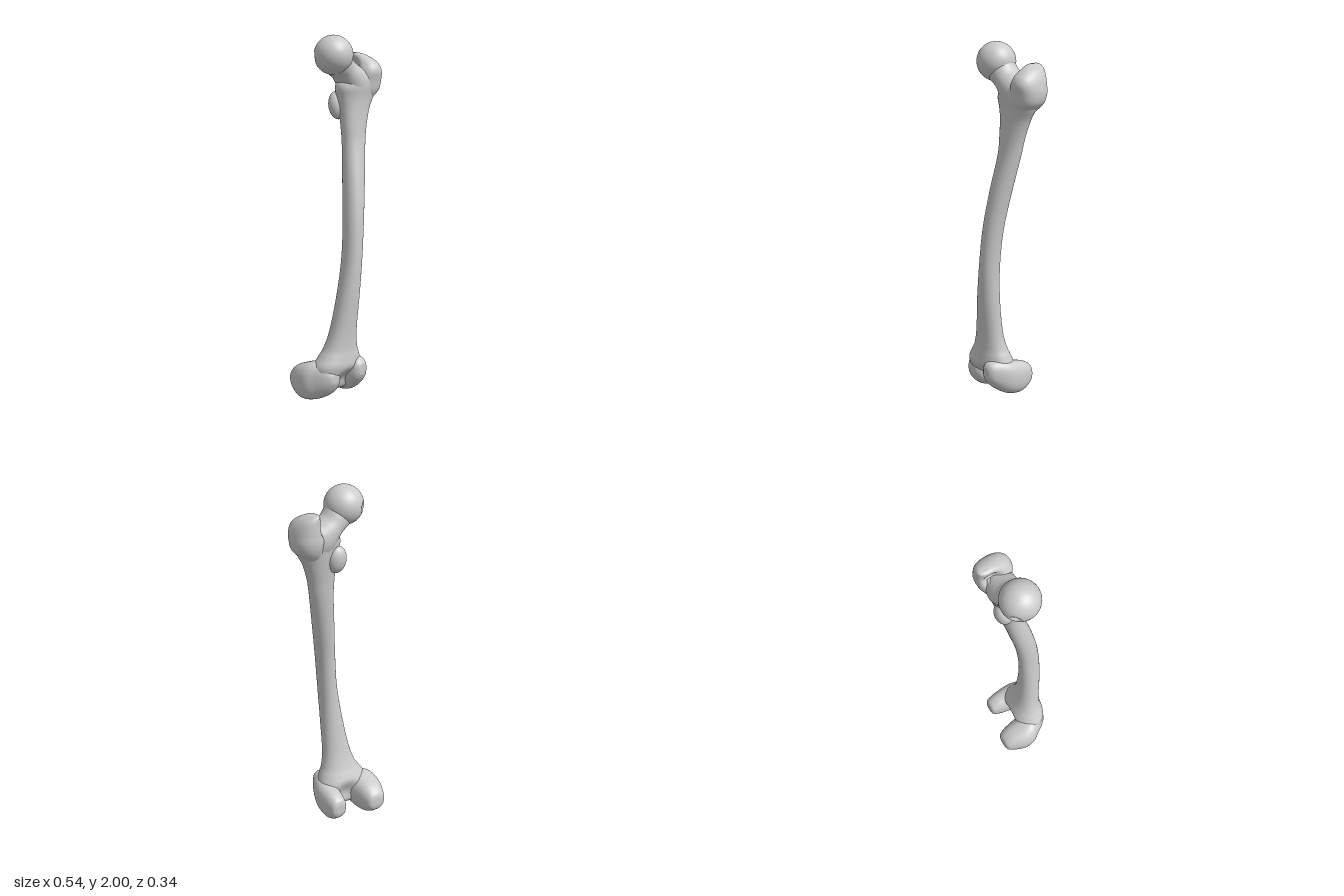
import * as THREE from 'three';

const material = new THREE.MeshStandardMaterial({ color: 0xcccccc, roughness: 0.8 });
const SIDES = 40, STEPS = 6;

// Smooth value between b and c
const spline = (a, b, c, d, t) =>
  b + 0.5 * t * (c - a + t * (2 * a - 5 * b + 4 * c - d + t * (3 * (b - c) + d - a)));

// Closed skin through rows of [height, xMin, xMax, zMin, zMax], bottom to top
function loft(rows, power = 2) {
  const rings = [];
  const at = (i) => rows[Math.min(Math.max(i, 0), rows.length - 1)];
  for (let i = 0; i < rows.length - 1; i++)
    for (let s = 0; s < STEPS; s++)
      rings.push(at(i).map((v, k) => spline(at(i - 1)[k], v, at(i + 1)[k], at(i + 2)[k], s / STEPS)));
  rings.push(at(rows.length - 1));
  const round = (v) => Math.sign(v) * Math.abs(v) ** (2 / power);
  const pos = [], index = [];
  for (const [h, x0, x1, z0, z1] of rings)
    for (let j = 0; j < SIDES; j++) {
      const a = (j / SIDES) * Math.PI * 2;
      pos.push((x0 + x1) / 2 + ((x1 - x0) / 2) * round(Math.cos(a)), h,
        (z0 + z1) / 2 + ((z1 - z0) / 2) * round(Math.sin(a)));
    }
  const last = (rings.length - 1) * SIDES, pole = rings.length * SIDES;
  for (const [h, x0, x1, z0, z1] of [rings[0], rings[rings.length - 1]])
    pos.push((x0 + x1) / 2, h, (z0 + z1) / 2);
  for (let j = 0; j < SIDES; j++) {
    const k = (j + 1) % SIDES;
    for (let r = 0; r < last; r += SIDES)
      index.push(r + j, r + SIDES + j, r + k, r + k, r + SIDES + j, r + SIDES + k);
    index.push(pole, j, k, pole + 1, last + k, last + j);
  }
  const g = new THREE.BufferGeometry();
  g.setAttribute('position', new THREE.Float32BufferAttribute(pos, 3));
  g.setIndex(index);
  g.computeVertexNormals();
  return g;
}

// Push vertices near a point along a direction to form a soft hollow
function dent(g, point, push, radius) {
  const c = new THREE.Vector3(...point), d = new THREE.Vector3(...push);
  const p = g.attributes.position, v = new THREE.Vector3();
  for (let i = 0; i < p.count; i++) {
    v.fromBufferAttribute(p, i);
    const f = 1 - v.distanceTo(c) / radius;
    if (f <= 0) continue;
    v.addScaledVector(d, f * f * (3 - 2 * f));
    p.setXYZ(i, v.x, v.y, v.z);
  }
  g.computeVertexNormals();
  return g;
}

export function createModel() {
  const group = new THREE.Group();
  const add = (name, geometry) => {
    const mesh = new THREE.Mesh(geometry, material);
    mesh.name = name;
    group.add(mesh);
    return mesh;
  };

  // Bowed shaft, flaring at both ends
  const shaft = loft([
    [0.055, -0.13, 0.02, -0.02, 0.06],
    [0.08, -0.18, 0.06, -0.05, 0.1],
    [0.14, -0.21, 0.085, -0.06, 0.13],
    [0.2, -0.215, 0.085, -0.05, 0.145],
    [0.25, -0.185, 0.07, -0.03, 0.142],
    [0.3, -0.155, 0.05, -0.01, 0.138],
    [0.4, -0.125, 0.036, 0.015, 0.142],
    [0.6, -0.09, 0.036, 0.04, 0.16],
    [0.8, -0.06, 0.045, 0.048, 0.167],
    [1.0, -0.042, 0.066, 0.038, 0.157],
    [1.2, -0.02, 0.1, 0.01, 0.13],
    [1.4, 0.004, 0.14, -0.02, 0.092],
    [1.5, 0.005, 0.16, -0.033, 0.082],
    [1.6, 0, 0.192, -0.05, 0.078],
    [1.66, -0.01, 0.225, -0.06, 0.08],
    [1.72, -0.02, 0.25, -0.07, 0.088],
    [1.77, 0.01, 0.25, -0.07, 0.085],
    [1.81, 0.06, 0.23, -0.05, 0.065],
  ], 2.15);
  dent(shaft, [-0.055, 0.1, 0.13], [0, 0.01, -0.04], 0.11);
  dent(shaft, [-0.05, 0.12, -0.06], [0, 0.01, 0.05], 0.12);
  add('shaft', shaft);

  // Ball head with a small pit on its inner back side
  const head = new THREE.SphereGeometry(0.106, 56, 40).translate(-0.055, 1.894, 0.013);
  dent(head, [-0.132, 1.885, -0.06], [0.022, 0, 0.02], 0.035);
  add('head', head);

  // Slanted neck from the upper shaft into the head
  const neck = add('neck', loft([
    [-0.06, -0.1, 0.08, -0.06, 0.07],
    [0, -0.105, 0.09, -0.078, 0.088],
    [0.06, -0.085, 0.075, -0.08, 0.09],
    [0.11, -0.073, 0.068, -0.075, 0.087],
    [0.17, -0.08, 0.08, -0.07, 0.09],
    [0.23, -0.06, 0.06, -0.05, 0.07],
  ]));
  neck.position.set(0.11, 1.74, 0);
  neck.rotation.z = 0.85;

  // Large outer knob with a hooked tip at the back
  const outerKnob = loft([
    [1.62, 0.11, 0.175, -0.03, 0.04],
    [1.66, 0.1, 0.22, -0.06, 0.065],
    [1.7, 0.1, 0.258, -0.083, 0.085],
    [1.75, 0.1, 0.27, -0.097, 0.095],
    [1.8, 0.11, 0.264, -0.098, 0.104],
    [1.84, 0.125, 0.25, -0.097, 0.088],
    [1.872, 0.135, 0.228, -0.095, 0.045],
    [1.893, 0.142, 0.198, -0.09, 0],
    [1.9, 0.155, 0.178, -0.075, -0.03],
  ], 2.3);
  dent(outerKnob, [0.12, 1.82, -0.03], [0.04, 0, 0], 0.07);
  add('outerKnob', outerKnob);

  // Small inner knob below the neck
  const innerKnob = new THREE.SphereGeometry(1, 32, 24).scale(0.055, 0.078, 0.045);
  add('innerKnob', innerKnob.rotateX(-0.15).translate(0.022, 1.62, -0.038));

  // Knee knuckles, rows of [z, xMin, xMax, yMin, yMax] from back to front
  const knuckle = (name, rows) =>
    add(name, loft(rows.map(([z, x0, x1, y0, y1]) => [z, x0, x1, -y1, -y0]), 2.4).rotateX(Math.PI / 2));
  knuckle('rightKnuckle', [
    [-0.171, -0.205, -0.15, 0.08, 0.125],
    [-0.16, -0.228, -0.125, 0.05, 0.155],
    [-0.12, -0.25, -0.107, 0.018, 0.185],
    [-0.06, -0.27, -0.095, 0, 0.208],
    [0, -0.266, -0.085, 0.006, 0.225],
    [0.05, -0.235, -0.08, 0.025, 0.225],
    [0.095, -0.205, -0.085, 0.06, 0.205],
    [0.12, -0.18, -0.11, 0.1, 0.175],
    [0.126, -0.165, -0.13, 0.12, 0.16],
  ]);
  knuckle('leftKnuckle', [
    [-0.13, 0.03, 0.08, 0.085, 0.14],
    [-0.118, 0.01, 0.1, 0.055, 0.168],
    [-0.08, -0.002, 0.112, 0.027, 0.19],
    [-0.03, -0.012, 0.117, 0.014, 0.205],
    [0.04, -0.025, 0.115, 0.027, 0.225],
    [0.1, -0.035, 0.095, 0.062, 0.235],
    [0.145, -0.022, 0.07, 0.105, 0.225],
    [0.164, 0, 0.045, 0.14, 0.2],
  ]);

  return group;
}
